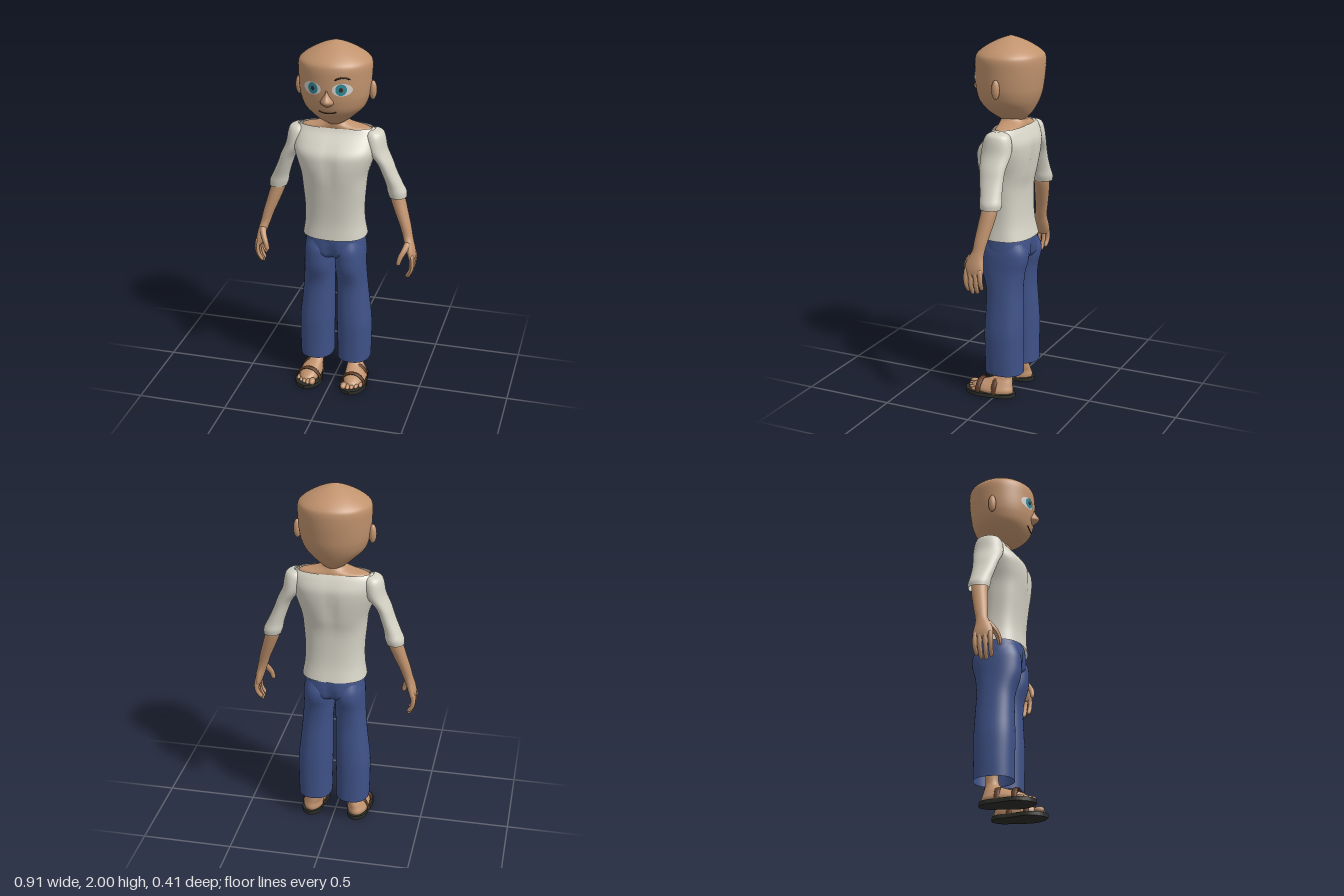
import * as THREE from 'three';

const material = (name, color, side = THREE.FrontSide) => {
  const m = new THREE.MeshStandardMaterial({ color, side });
  m.name = name;
  return m;
};

// Smooth sampler through rows of [y, centreX, centreZ, radiusX, radiusZ], top to bottom
function sampler(rows) {
  const make = f => new THREE.CatmullRomCurve3(rows.map(f), false, 'catmullrom', 0.5);
  const centre = make(r => new THREE.Vector3(r[1], r[0], r[2]));
  const radius = make(r => new THREE.Vector3(r[3], 0, r[4]));
  return t => {
    const c = centre.getPoint(t), r = radius.getPoint(t);
    return { x: c.x, y: c.y, z: c.z, rx: Math.max(r.x, 0.0005), rz: Math.max(r.z, 0.0005) };
  };
}

// Skin of horizontal superellipse rings; warp may shift each point
function loft(rows, { n = 36, e = 2, caps = true, warp } = {}) {
  const at = sampler(rows), m = (rows.length - 1) * 4, pos = [], idx = [];
  const power = v => Math.sign(v) * Math.abs(v) ** (2 / e);
  for (let i = 0; i <= m; i++) {
    const s = at(i / m);
    for (let j = 0; j < n; j++) {
      const a = (j / n) * Math.PI * 2;
      const p = new THREE.Vector3(s.x + s.rx * power(Math.cos(a)), s.y, s.z + s.rz * power(Math.sin(a)));
      if (warp) warp(p, s);
      pos.push(p.x, p.y, p.z);
      if (i < m) {
        const a0 = i * n + j, b0 = i * n + (j + 1) % n;
        idx.push(a0, b0, a0 + n, b0, b0 + n, a0 + n);
      }
    }
  }
  if (caps) {
    const top = at(0), end = at(1), c = (m + 1) * n;
    pos.push(top.x, top.y, top.z, end.x, end.y, end.z);
    for (let j = 0; j < n; j++) {
      const k = (j + 1) % n;
      idx.push(c, k, j, c + 1, m * n + j, m * n + k);
    }
  }
  const g = new THREE.BufferGeometry();
  g.setAttribute('position', new THREE.Float32BufferAttribute(pos, 3));
  g.setIndex(idx);
  g.computeVertexNormals();
  return g;
}

// Tapered tube with rounded ends
function finger(points, r0, r1) {
  const curve = new THREE.CatmullRomCurve3(points.map(p => new THREE.Vector3(...p)));
  const steps = 18, sides = 10, g = new THREE.TubeGeometry(curve, steps, 1, sides);
  const pos = g.attributes.position, p = new THREE.Vector3();
  for (let i = 0; i < pos.count; i++) {
    const t = Math.floor(i / (sides + 1)) / steps, c = curve.getPointAt(t);
    const d = Math.max(0, (Math.abs(t - 0.5) - 0.38) / 0.12);
    const r = (r0 + (r1 - r0) * t) * Math.sqrt(Math.max(0, 1 - d * d));
    p.fromBufferAttribute(pos, i).sub(c).multiplyScalar(r).add(c);
    pos.setXYZ(i, p.x, p.y, p.z);
  }
  g.computeVertexNormals();
  return g;
}

function ellipsoid(x, y, z, rx, ry, rz) {
  return new THREE.SphereGeometry(1, 20, 14).scale(rx, ry, rz).translate(x, y, z);
}

function mirrored(geometry) {
  const g = geometry.clone().scale(-1, 1, 1);
  g.setIndex(Array.from(g.index.array).reverse());
  return g;
}

export function createModel() {
  const model = new THREE.Group();
  model.name = 'standingFigure';
  const skin = material('skin', 0xc1936e);
  const cloth = material('shirtCloth', 0xd5d2c5, THREE.DoubleSide);
  const denim = material('trouserCloth', 0x3f5288, THREE.DoubleSide);
  const rubber = material('soleRubber', 0x2c2e28);
  const leather = material('strapLeather', 0x5c3a26);
  const white = material('eyeWhite', 0xd6d4cf);
  const teal = material('irisTeal', 0x32899a);
  const dark = material('darkBrown', 0x3a241a);

  const add = (name, geometry, mat) => {
    const mesh = new THREE.Mesh(geometry, mat);
    mesh.name = name;
    model.add(mesh);
  };
  const pair = (name, geometry, mat) => {
    add(name + 'Left', geometry, mat);
    add(name + 'Right', mirrored(geometry), mat);
  };

  // Head with a flat dome and tapering jaw
  const headRows = [
    [2.0, 0, -0.02, 0.004, 0.004], [1.98, 0, -0.02, 0.065, 0.062], [1.95, 0, -0.02, 0.127, 0.122],
    [1.915, 0, -0.02, 0.178, 0.17], [1.885, 0, -0.019, 0.196, 0.186], [1.82, 0, -0.017, 0.195, 0.187],
    [1.75, 0, -0.014, 0.19, 0.182], [1.7, 0, -0.013, 0.18, 0.174], [1.65, 0, -0.012, 0.158, 0.157],
    [1.6, 0, -0.017, 0.107, 0.125], [1.57, 0, -0.025, 0.07, 0.09], [1.55, 0, -0.03, 0.04, 0.06]];
  add('head', loft(headRows, { n: 56 }), skin);
  const headAt = sampler(headRows);
  const faceZ = (x, y) => {
    let a = 0, b = 1;
    for (let i = 0; i < 30; i++) {
      const t = (a + b) / 2;
      if (headAt(t).y > y) a = t; else b = t;
    }
    const s = headAt(a);
    return s.z + s.rz * Math.sqrt(Math.max(0, 1 - (x / s.rx) ** 2));
  };
  add('nose', loft([[1.79, 0, 0.155, 0.006, 0.012], [1.755, 0, 0.16, 0.014, 0.019],
    [1.717, 0, 0.157, 0.036, 0.043], [1.697, 0, 0.152, 0.028, 0.024], [1.685, 0, 0.147, 0.01, 0.01]],
  { n: 20, e: 1.6 }), skin);
  pair('ear', ellipsoid(0.2, 1.74, -0.025, 0.021, 0.052, 0.022), skin);

  // Eyes, brow and mouth laid on the face
  const patch = (cx, cy, rx, ry, lift) => {
    const g = new THREE.RingGeometry(0.001, 1, 32, 5).scale(rx, ry, 1).translate(cx, cy, 0);
    const p = g.attributes.position;
    for (let i = 0; i < p.count; i++) p.setZ(i, faceZ(p.getX(i), p.getY(i)) + lift);
    g.computeVertexNormals();
    return g;
  };
  pair('eyeWhite', patch(0.079, 1.784, 0.05, 0.034, 0.003), white);
  pair('iris', patch(0.075, 1.785, 0.028, 0.031, 0.005), teal);
  pair('pupil', patch(0.075, 1.785, 0.01, 0.012, 0.007), dark);
  const faceLine = (points, r) => finger(points.map(([x, y]) => [x, y, faceZ(x, y) + 0.001]), r, r);
  add('browLeft', faceLine([[0.04, 1.835], [0.065, 1.846], [0.09, 1.848], [0.118, 1.837]], 0.004), dark);
  add('mouth', faceLine([[-0.048, 1.659], [-0.025, 1.651], [0, 1.649], [0.025, 1.651], [0.048, 1.659]], 0.003), dark);

  // Neck and bare shoulders inside the wide collar
  add('neck', loft([[1.61, 0, -0.03, 0.058, 0.062], [1.57, 0, -0.032, 0.06, 0.064],
    [1.55, 0, -0.036, 0.078, 0.068], [1.535, 0, -0.04, 0.13, 0.07], [1.522, 0, -0.042, 0.188, 0.07],
    [1.49, 0, -0.042, 0.195, 0.075]]), skin);

  // Shirt body, with a shallow groove down chest and spine
  add('shirtBody', loft([
    [1.527, 0, -0.042, 0.198, 0.074], [1.5, 0, -0.042, 0.22, 0.091], [1.45, 0, -0.03, 0.226, 0.126],
    [1.4, 0, -0.013, 0.222, 0.147], [1.34, 0, -0.007, 0.203, 0.149], [1.27, 0, -0.004, 0.181, 0.142],
    [1.19, 0, -0.002, 0.172, 0.128], [1.08, 0, -0.008, 0.163, 0.122], [0.99, 0, -0.014, 0.165, 0.124],
    [0.91, 0, -0.02, 0.177, 0.137]],
  { n: 56, e: 2.4, caps: false, warp: (p, s) => {
    const groove = Math.exp(-((p.x / 0.03) ** 2)) * Math.exp(-(((p.y - 1.34) / 0.11) ** 2));
    p.z -= Math.sign(p.z - s.z) * 0.012 * groove;
  } }), cloth);

  // Sleeves ending in a loose cuff below the elbow
  pair('sleeve', loft([
    [1.522, 0.2, -0.042, 0.012, 0.03], [1.508, 0.207, -0.042, 0.046, 0.06], [1.475, 0.211, -0.041, 0.057, 0.077],
    [1.41, 0.225, -0.04, 0.055, 0.084], [1.34, 0.268, -0.04, 0.043, 0.073], [1.28, 0.292, -0.045, 0.041, 0.066],
    [1.21, 0.319, -0.055, 0.046, 0.06], [1.17, 0.332, -0.06, 0.052, 0.061], [1.14, 0.338, -0.06, 0.048, 0.056]],
  { caps: false }), cloth);

  // Forearm and palm
  pair('forearm', loft([
    [1.21, 0.318, -0.058, 0.032, 0.042], [1.13, 0.339, -0.055, 0.04, 0.044], [1.06, 0.362, -0.045, 0.037, 0.042],
    [0.98, 0.39, -0.032, 0.031, 0.037], [0.93, 0.404, -0.024, 0.028, 0.034], [0.89, 0.416, -0.014, 0.026, 0.042],
    [0.85, 0.427, -0.01, 0.024, 0.052], [0.815, 0.434, -0.01, 0.019, 0.054], [0.79, 0.436, -0.01, 0.011, 0.046]],
  { n: 28 }), skin);

  // Fingers curling inward, thumb reaching forward
  [[0.034, 0.7], [0.006, 0.685], [-0.023, 0.69], [-0.05, 0.715]].forEach(([z, tip], i) => {
    pair('finger' + (i + 1), finger([[0.433, 0.84, z * 0.85], [0.442, 0.79, z],
      [0.436, (tip + 0.79) / 2, z], [0.41, tip, z * 0.9]], 0.015, 0.011), skin);
  });
  pair('thumb', finger([[0.416, 0.9, 0.005], [0.398, 0.86, 0.042], [0.381, 0.825, 0.06], [0.37, 0.78, 0.065]],
    0.02, 0.012), skin);

  // Trousers: hips with a centre seam, then two open straight legs
  add('trouserHips', loft([
    [0.93, 0, -0.022, 0.156, 0.122], [0.9, 0, -0.024, 0.16, 0.128], [0.85, 0, -0.025, 0.165, 0.132],
    [0.81, 0, -0.025, 0.162, 0.126], [0.785, 0, -0.025, 0.125, 0.1], [0.765, 0, -0.025, 0.04, 0.05]],
  { n: 56, e: 2.5, warp: (p, s) => {
    const low = THREE.MathUtils.clamp((0.91 - p.y) / 0.08, 0, 1);
    p.z -= Math.sign(p.z - s.z) * 0.02 * low * Math.exp(-((p.x / 0.02) ** 2));
  } }), denim);
  pair('trouserLeg', loft([
    [0.89, 0.085, -0.024, 0.07, 0.112], [0.84, 0.085, -0.025, 0.081, 0.132], [0.79, 0.086, -0.024, 0.083, 0.134],
    [0.72, 0.088, -0.018, 0.083, 0.122], [0.62, 0.094, -0.028, 0.084, 0.103], [0.5, 0.1, -0.031, 0.09, 0.105],
    [0.38, 0.107, -0.031, 0.096, 0.109], [0.25, 0.109, -0.032, 0.095, 0.107], [0.14, 0.108, -0.033, 0.093, 0.107]],
  { e: 2.3, caps: false }), denim);

  // Bare feet with five toes
  pair('foot', loft([
    [0.26, 0.106, -0.04, 0.034, 0.036], [0.14, 0.106, -0.043, 0.031, 0.034], [0.105, 0.11, -0.034, 0.036, 0.046],
    [0.082, 0.118, -0.01, 0.045, 0.074], [0.06, 0.126, 0.02, 0.054, 0.107], [0.038, 0.13, 0.032, 0.062, 0.125],
    [0.018, 0.13, 0.032, 0.06, 0.122]]), skin);
  for (let i = 0; i < 5; i++) {
    const r = i === 0 ? 0.018 : 0.0145 - i * 0.0008;
    pair('toe' + (i + 1), ellipsoid(0.092 + i * 0.0215 + (i ? 0.003 : 0), 0.017 + r,
      0.158 - 0.0028 * i * i, r, r, 0.028), skin);
  }

  // Sandals: shaped sole and two straps
  const outline = new THREE.Shape(new THREE.SplineCurve([
    [0.13, 0.198], [0.178, 0.168], [0.207, 0.1], [0.196, 0.01], [0.18, -0.07], [0.13, -0.106],
    [0.083, -0.07], [0.07, 0.01], [0.052, 0.1], [0.08, 0.168], [0.13, 0.198]
  ].map(([x, z]) => new THREE.Vector2(x, -z))).getPoints(48));
  const sole = new THREE.ExtrudeGeometry(outline, { depth: 0.022, bevelEnabled: false }).rotateX(-Math.PI / 2);
  sole.setIndex(Array.from({ length: sole.attributes.position.count }, (_, i) => i));
  pair('sole', sole, rubber);
  [[0.095, 0.066, 0.066], [0.002, 0.06, 0.074]].forEach(([z, rx, ry], i) => {
    pair(i ? 'ankleStrap' : 'toeStrap', new THREE.TorusGeometry(1, 0.09, 10, 28, Math.PI)
      .scale(rx, ry, 0.17).translate(0.13, 0.018, z), leather);
  });

  return model;
}
